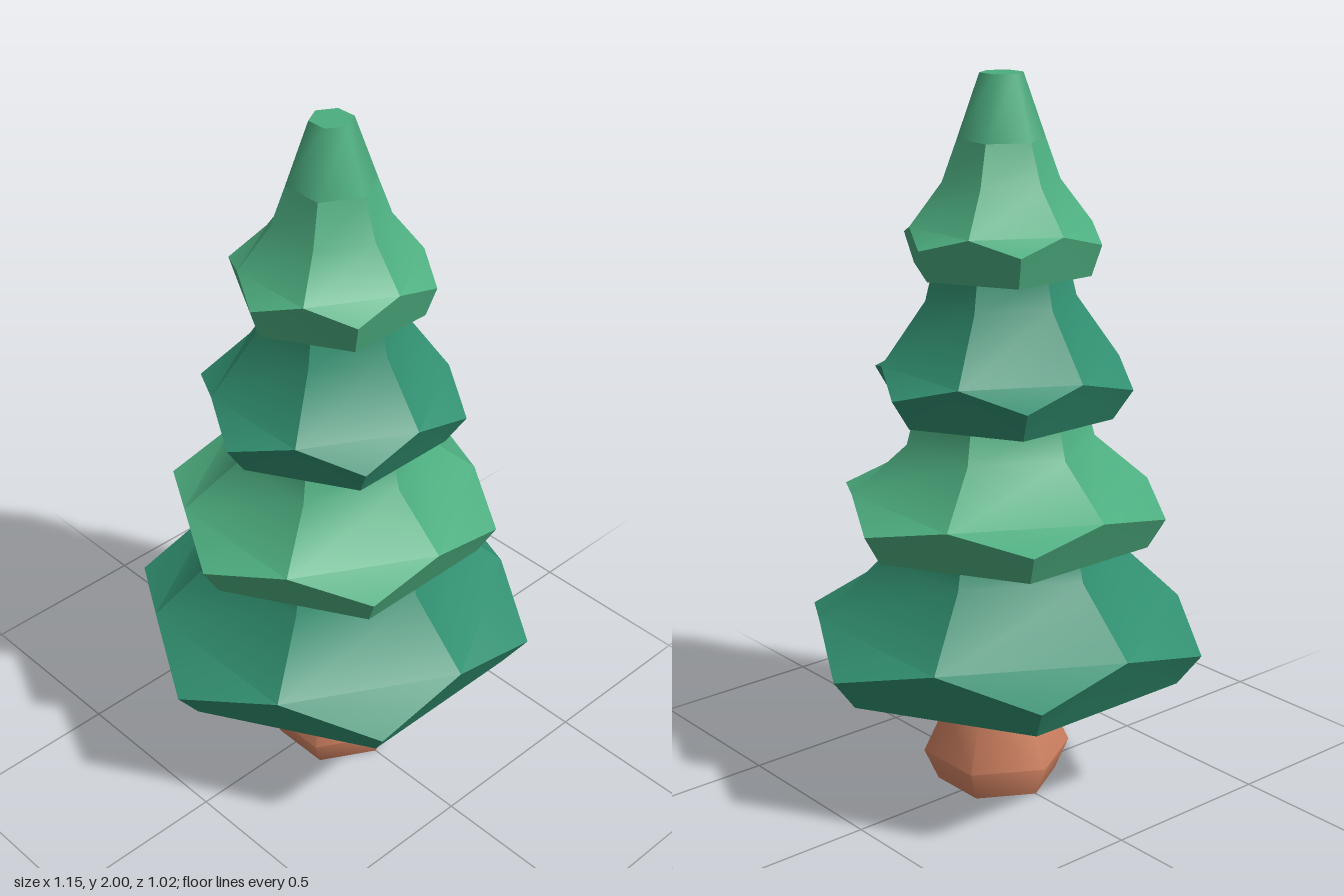
import * as THREE from 'three';
import { toCreasedNormals } from 'three/addons/utils/BufferGeometryUtils.js';

const material = (name, color) => {
  const m = new THREE.MeshStandardMaterial({ color });
  m.name = name;
  return m;
};

// Six points of a ring at height y; turn 0 = corners on x, turn 0.5 = between them
const ring = (r, y, turn) => Array.from({ length: 6 }, (_, i) => {
  const a = ((i + turn) * Math.PI) / 3;
  return [r * Math.cos(a), y, r * Math.sin(a)];
});

// One branch tier: flat underside, drooping corners, raised edge middles, narrow neck.
// Each argument is a [radius, height] pair.
function tierGeometry({ base, corner, middle, shoulder, neck }) {
  const B = ring(...base, 0), C = ring(...corner, 0);
  const M = ring(...middle, 0.5), S = ring(...shoulder, 0.5), N = ring(...neck, 0.5);
  const under = [0, base[1], 0], over = [0, neck[1], 0];
  const pos = [];
  const fan = (...p) => {
    for (let k = 1; k < p.length - 1; k++) pos.push(...p[0], ...p[k], ...p[k + 1]);
  };
  for (let i = 0; i < 6; i++) {
    const n = (i + 1) % 6, p = (i + 5) % 6;
    fan(M[i], C[n], B[n], B[i], C[i]); // rim face
    fan(M[i], C[i], M[p]); // drooping corner
    fan(M[i], M[p], S[p], S[i]); // slope
    fan(S[i], S[p], N[p], N[i]); // neck
    fan(under, B[i], B[n]);
    fan(over, N[i], N[p]);
  }
  const g = new THREE.BufferGeometry();
  g.setAttribute('position', new THREE.Float32BufferAttribute(pos, 3));
  return toCreasedNormals(g, 0.61);
}

export function createModel() {
  const tree = new THREE.Group();
  tree.name = 'pineTree';
  const dark = material('darkGreen', 0x318f70);
  const light = material('lightGreen', 0x4dae80);
  const bark = material('bark', 0xd48463);

  const add = (name, geometry, mat) => {
    const mesh = new THREE.Mesh(geometry, mat);
    mesh.name = name;
    tree.add(mesh);
    return mesh;
  };

  // Bulging six-sided trunk, slightly forward of centre
  const profile = [[0, 0], [0.17, 0], [0.21, 0.09], [0.15, 0.22], [0.135, 0.37], [0, 0.37]];
  const trunk = new THREE.LatheGeometry(profile.map((p) => new THREE.Vector2(...p)), 6);
  add('trunk', toCreasedNormals(trunk, 1.1), bark).position.z = 0.02;

  // Branch tiers from bottom to top
  const tiers = [
    { base: [0.51, 0.365], corner: [0.577, 0.455], middle: [0.51, 0.52], shoulder: [0.335, 0.69], neck: [0.315, 0.755] },
    { base: [0.418, 0.75], corner: [0.467, 0.835], middle: [0.412, 0.877], shoulder: [0.26, 1.01], neck: [0.235, 1.105] },
    { base: [0.315, 1.1], corner: [0.37, 1.185], middle: [0.325, 1.233], shoulder: [0.205, 1.405], neck: [0.185, 1.487] },
    { base: [0.25, 1.483], corner: [0.278, 1.567], middle: [0.245, 1.605], shoulder: [0.158, 1.72], neck: [0.118, 1.83] },
  ];
  tiers.forEach((t, i) => add(`branchTier${i + 1}`, tierGeometry(t), i % 2 ? light : dark));

  // Softly shaded tip
  add('treeTip', new THREE.CylinderGeometry(0.058, 0.118, 0.17, 6), light).position.y = 1.915;

  return tree;
}
